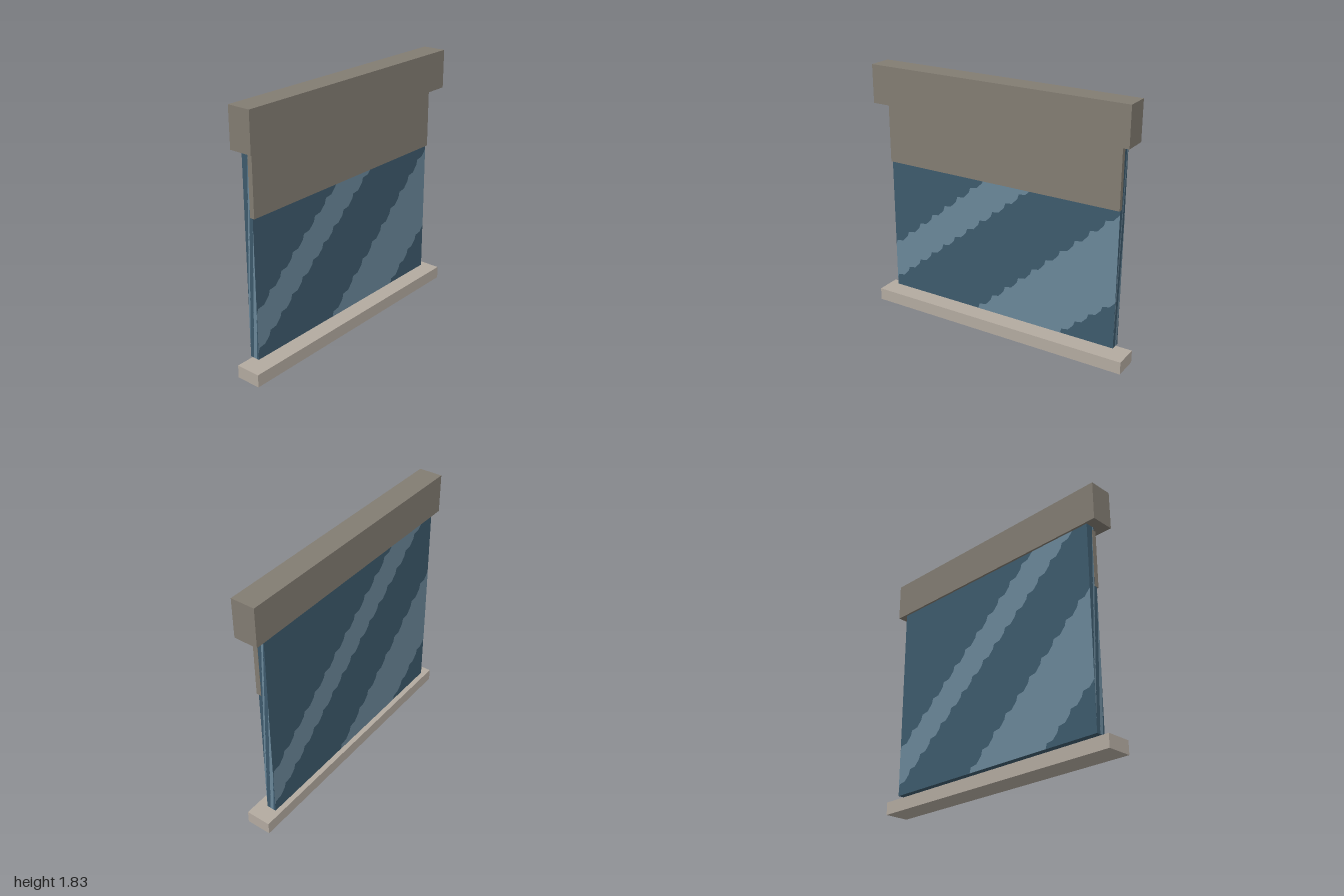
import * as THREE from 'three';

const mat = (name, color) => {
  const m = new THREE.MeshStandardMaterial({ color });
  m.name = name;
  return m;
};

export function createModel() {
  const group = new THREE.Group();
  group.name = 'shopWindow';
  const stone = mat('sill stone', 0xb3aaa0);
  const taupe = mat('taupe', 0x827c72);
  const glass = mat('dark glass', 0x3d5a6c);
  const shine = mat('glass reflection', 0x6a8799);

  // Box given by its limits, centred on x
  function box(name, material, halfX, y0, y1, z0, z1) {
    const mesh = new THREE.Mesh(new THREE.BoxGeometry(2 * halfX, y1 - y0, z1 - z0), material);
    mesh.position.set(0, (y0 + y1) / 2, (z0 + z1) / 2);
    mesh.name = name;
    group.add(mesh);
  }

  box('sill', stone, 1, 0, 0.09, -0.09, 0.09);
  box('headBox', taupe, 0.975, 1.55, 1.825, -0.085, 0.085);
  box('glassPane', glass, 0.9, 0.12, 1.55, -0.07, 0);
  box('blind', taupe, 0.902, 1.11, 1.525, -0.02, 0.015);

  // Jagged edge of a reflection, running from a to b
  function jagged(a, b) {
    const n = Math.round((b[0] - a[0]) / 0.107);
    const points = [];
    for (let i = 0; i < n; i++) {
      for (const [u, v] of [[0, 0], [0.1, 0.4], [0.6, 0.5]]) {
        points.push(new THREE.Vector2(
          a[0] + (b[0] - a[0]) * (i + u) / n,
          a[1] + (b[1] - a[1]) * (i + v) / n));
      }
    }
    points.push(new THREE.Vector2(...b));
    return points;
  }

  // Two diagonal reflections, drawn on a pane 1.8 wide
  const upperBand = new THREE.Shape([
    ...jagged([-0.9, 0.17], [0.78, 1.55]),
    ...jagged([-0.9, 0.45], [0.42, 1.55]).reverse(),
  ]);
  const lowerBand = new THREE.Shape([
    ...jagged([0.5, 0.12], [0.9, 0.46]),
    ...jagged([-0.17, 0.12], [0.9, 1.08]).reverse(),
  ]);
  const bands = new THREE.ShapeGeometry([upperBand, lowerBand]);

  // The same reflections on all four upright faces, squeezed on the narrow ones
  const faces = [
    ['frontReflection', 0, 1, 0, 0.001],
    ['backReflection', Math.PI, 1, 0, -0.071],
    ['leftReflection', Math.PI / 2, 0.07 / 1.8, 0.901, -0.035],
    ['rightReflection', -Math.PI / 2, 0.07 / 1.8, -0.901, -0.035],
  ];
  for (const [name, turn, squeeze, x, z] of faces) {
    const mesh = new THREE.Mesh(bands, shine);
    mesh.name = name;
    mesh.rotation.y = turn;
    mesh.scale.x = squeeze;
    mesh.position.set(x, 0, z);
    group.add(mesh);
  }
  return group;
}
